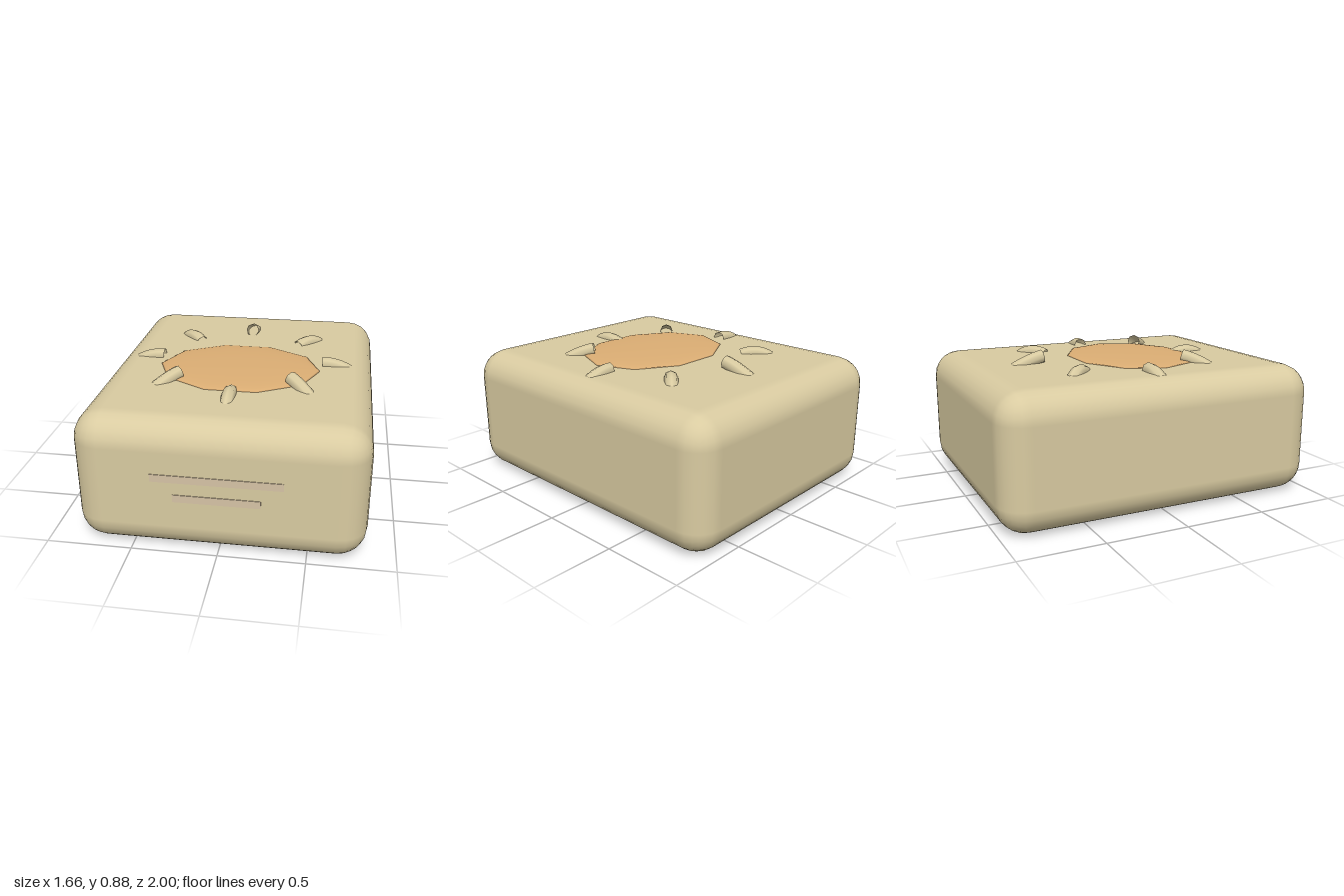
import * as THREE from 'three';
import { RoundedBoxGeometry } from 'three/addons/geometries/RoundedBoxGeometry.js';

const paint = (color, side = THREE.FrontSide) => new THREE.MeshStandardMaterial({ color, side });

export function createModel() {
  const model = new THREE.Group();
  const sand = 0xd9cba1;
  const add = (name, geometry, material, x, y, z) => {
    const mesh = new THREE.Mesh(geometry, material);
    mesh.name = name;
    mesh.position.set(x, y, z);
    model.add(mesh);
    return mesh;
  };

  // Rounded block
  add('body', new RoundedBoxGeometry(1.66, 0.8, 1.996, 3, 0.17), paint(sand), 0, 0.4, -0.002);

  // Shallow ten-sided dome set into the top
  const dome = new THREE.SphereGeometry(1, 10, 8, 0, Math.PI * 2, 0, Math.PI / 2);
  dome.scale(0.5, 0.025, 0.394);
  add('dome', dome, paint(0xdcae74), 0, 0.8, 0.13);

  // Two thin raised bars on the front
  const barPaint = paint(0xd6c3a6);
  add('upperBar', new THREE.BoxGeometry(0.735, 0.045, 0.02), barPaint, 0, 0.477, 0.99);
  add('lowerBar', new THREE.BoxGeometry(0.49, 0.045, 0.02), barPaint, 0, 0.357, 0.99);

  // Half-sunk curved tubes in a ring; profiles are [radius, height], inner to outer
  const raised = [[0.472, 0.838], [0.56, 0.82], [0.66, 0.768]];
  const raisedDiagonal = [[0.475, 0.832], [0.56, 0.815], [0.645, 0.768]];
  const level = [[0.51, 0.805], [0.59, 0.81], [0.67, 0.765]];
  const arched = [[0.44, 0.765], [0.55, 0.832], [0.665, 0.765]];
  const archedDiagonal = [[0.475, 0.785], [0.57, 0.825], [0.655, 0.768]];
  const ring = [arched, raisedDiagonal, level, archedDiagonal, raised, archedDiagonal, level, raisedDiagonal];
  const tubePaint = paint(sand, THREE.DoubleSide);
  ring.forEach((profile, i) => {
    const points = profile.map(([r, y]) => new THREE.Vector3(0, y, r));
    const curve = new THREE.QuadraticBezierCurve3(...points);
    const tube = add('ray' + (i + 1), new THREE.TubeGeometry(curve, 6, 0.042, 8), tubePaint, 0, 0, 0);
    tube.rotation.y = (i * Math.PI) / 4;
  });

  return model;
}
